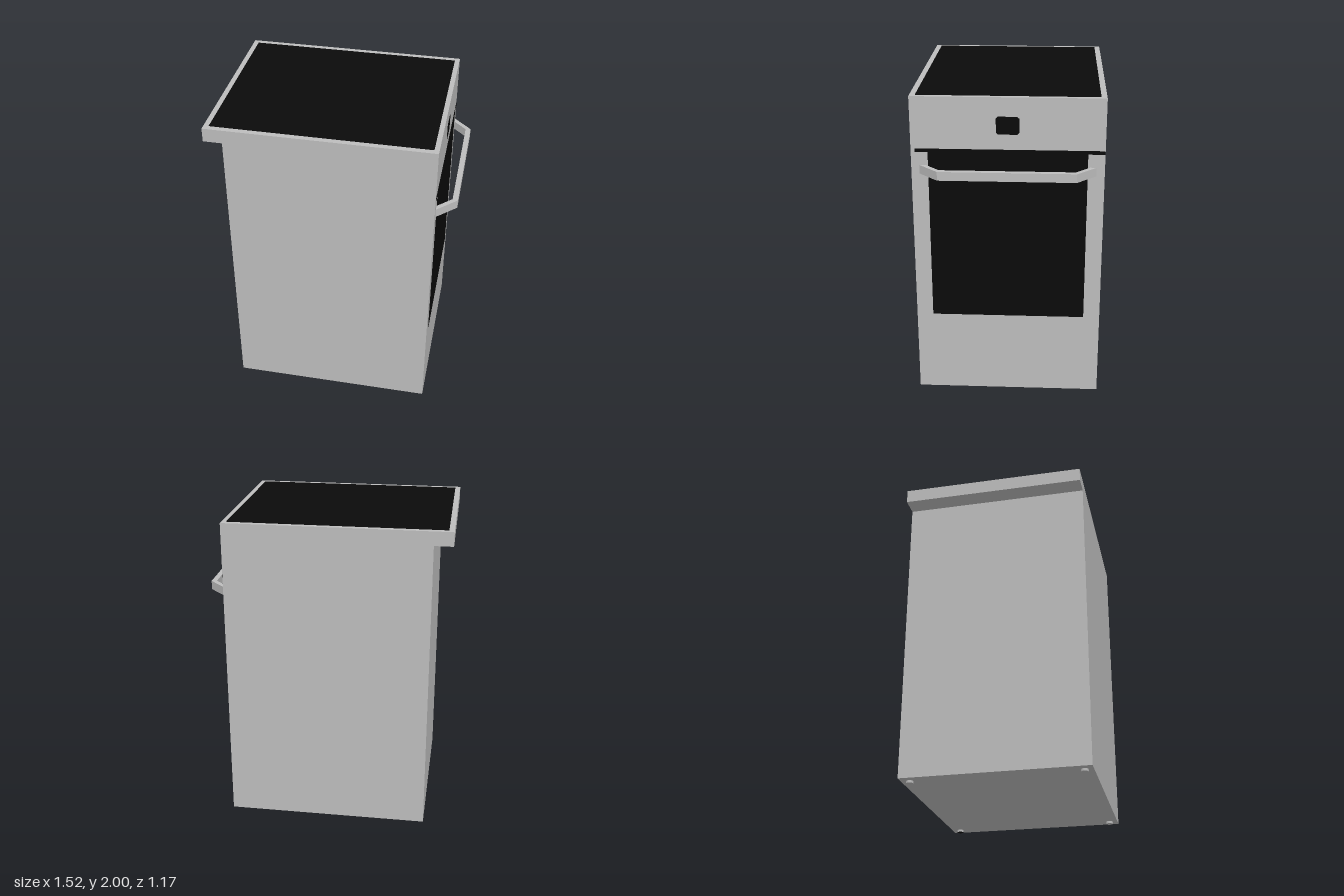
import * as THREE from 'three';

export function createModel() {
  const steel = new THREE.MeshStandardMaterial({ color: 0xbdbdbd });
  steel.name = 'brushed steel';
  const black = new THREE.MeshStandardMaterial({ color: 0x0a0a0a });
  black.name = 'black glass';

  const group = new THREE.Group();
  const add = (name, geometry, material, x = 0, y = 0, z = 0) => {
    const mesh = new THREE.Mesh(geometry, material);
    mesh.name = name;
    mesh.position.set(x, y, z);
    group.add(mesh);
    return mesh;
  };
  const outline = (points) => new THREE.Shape(points.map(([x, y]) => new THREE.Vector2(x, y)));
  const extrude = (shape, depth) => new THREE.ExtrudeGeometry(shape, { depth, bevelEnabled: false });

  // Cabinet with the worktop lip overhanging the wall side
  const cabinet = outline([
    [-0.645, 0.015], [0.64, 0.015], [0.64, 1.998], [-0.763, 1.998], [-0.763, 1.91], [-0.645, 1.91],
  ]);
  add('cabinet', extrude(cabinet, 1.17), steel, 0, 0, -0.585);

  // Glass hob
  add('hob', new THREE.BoxGeometry(1.34, 0.004, 1.1), black, -0.06, 1.998, 0);

  // Thin dark plates on the door side: [name, width, height, centre y, centre z]
  const plates = [
    ['doorGlass', 0.965, 1.1, 1.105, 0],
    ['doorGap', 1.145, 0.022, 1.664, -0.012],
  ];
  for (const [name, w, h, y, z] of plates) {
    add(name, new THREE.BoxGeometry(0.004, h, w), black, 0.64, y, z);
  }

  // Clock display with slightly cut corners
  const a = 0.07, b = 0.055, c = 0.012;
  const display = outline([
    [-a + c, -b], [a - c, -b], [a, -b + c], [a, b - c], [a - c, b], [-a + c, b], [-a, b - c], [-a, -b + c],
  ]);
  add('clockDisplay', extrude(display, 0.003), black, 0.639, 1.825, 0).rotation.y = Math.PI / 2;

  // Door handle: a flat bar with angled ends, drawn in plan and raised
  const handle = outline([
    [0.64, -0.535], [0.76, -0.415], [0.76, 0.415], [0.64, 0.535],
    [0.64, 0.495], [0.727, 0.408], [0.727, -0.408], [0.64, -0.495],
  ]);
  add('handle', extrude(handle, 0.055), steel, 0, 1.515, 0).rotation.x = -Math.PI / 2;

  // Feet, one with a dark pad underneath
  for (const x of [-0.578, 0.575]) {
    for (const z of [-0.53, 0.53]) {
      const pad = x > 0 && z < 0 ? black : steel;
      add('foot', new THREE.CylinderGeometry(0.023, 0.023, 0.016, 12), [steel, steel, pad], x, 0.008, z);
    }
  }
  return group;
}
